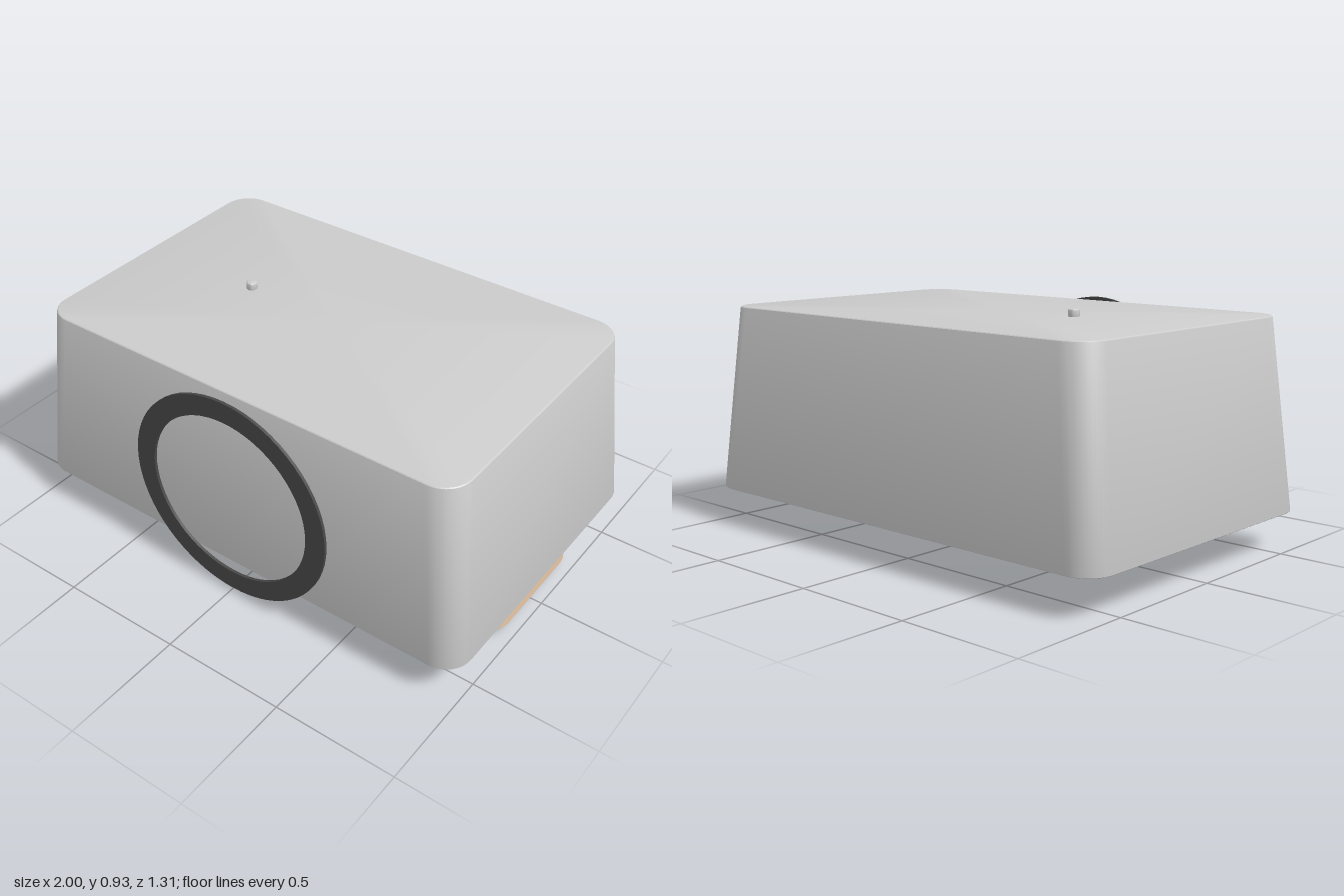
import * as THREE from 'three';
import { toCreasedNormals } from 'three/addons/utils/BufferGeometryUtils.js';

const CORNER = 10, BEVEL = 3;

// Tapered rounded block: half sizes go from bottom [x, z] to top [x, z],
// r is the upright corner radius, b0 and b1 round the lower and upper rims.
function taperedBlock(bottom, top, h, r, b0, b1) {
  const sections = [];
  for (let i = 0; i <= BEVEL; i++) {
    const t = (i / BEVEL) * Math.PI / 2;
    sections.push([b0 * (1 - Math.cos(t)), b0 * (1 - Math.sin(t))]);
  }
  for (let i = 0; i <= BEVEL; i++) {
    const t = (i / BEVEL) * Math.PI / 2;
    sections.push([h - b1 * (1 - Math.sin(t)), b1 * (1 - Math.cos(t))]);
  }
  const pos = [], index = [], n = 4 * (CORNER + 1);
  for (const [y, inset] of sections) {
    const a = THREE.MathUtils.lerp(bottom[0], top[0], y / h) - inset;
    const d = THREE.MathUtils.lerp(bottom[1], top[1], y / h) - inset;
    const rad = r - inset;
    for (let q = 0; q < 4; q++) {
      const sx = q === 0 || q === 3 ? 1 : -1, sz = q < 2 ? 1 : -1;
      for (let i = 0; i <= CORNER; i++) {
        const t = (q + i / CORNER) * Math.PI / 2;
        pos.push(sx * (a - rad) + rad * Math.cos(t), y, sz * (d - rad) + rad * Math.sin(t));
      }
    }
  }
  const last = (sections.length - 1) * n, low = sections.length * n, high = low + 1;
  pos.push(0, 0, 0, 0, h, 0);
  for (let i = 0; i < n; i++) {
    const j = (i + 1) % n;
    for (let k = 0; k < last; k += n) {
      index.push(k + i, k + n + i, k + j, k + j, k + n + i, k + n + j);
    }
    index.push(low, i, j, high, last + j, last + i);
  }
  const g = new THREE.BufferGeometry();
  g.setAttribute('position', new THREE.Float32BufferAttribute(pos, 3));
  g.setIndex(index);
  return toCreasedNormals(g, 0.4);
}

export function createModel() {
  const model = new THREE.Group();
  const grey = new THREE.MeshStandardMaterial({ color: 0xcccccc });
  const tan = new THREE.MeshStandardMaterial({ color: 0xdebd9b });
  const dark = new THREE.MeshStandardMaterial({ color: 0x484848 });

  const add = (name, geometry, material, x, y, z) => {
    const mesh = new THREE.Mesh(geometry, material);
    mesh.name = name;
    mesh.position.set(x, y, z);
    model.add(mesh);
  };

  // Main housing, narrower at the top
  add('body', taperedBlock([1, 0.647], [0.92, 0.597], 0.75, 0.11, 0.005, 0.008), grey, 0, 0.15, -0.006);

  // Flared pad under the left end
  add('basePad', taperedBlock([0.478, 0.309], [0.443, 0.284], 0.12, 0.11, 0.006, 0.001), tan, 0.488, 0.031, -0.006);

  // Small buttons below and on top
  add('bottomButton', taperedBlock([0.046, 0.031], [0.046, 0.031], 0.032, 0.03, 0.01, 0.01), grey, 0.715, 0, -0.006);
  add('topButton', taperedBlock([0.02, 0.022], [0.02, 0.022], 0.036, 0.018, 0.008, 0.008), grey, -0.388, 0.894, -0.006);

  // Flat ring standing just off the front
  const ring = new THREE.Shape().absarc(0.0, 0, 0.441, 0, Math.PI * 2);
  ring.holes.push(new THREE.Path().absarc(0, 0, 0.356, 0, Math.PI * 2, true));
  const ringGeometry = new THREE.ExtrudeGeometry(ring, { depth: 0.012, bevelEnabled: false, curveSegments: 32 });
  add('frontRing', toCreasedNormals(ringGeometry, 0.5), dark, 0.015, 0.467, 0.643);

  return model;
}
